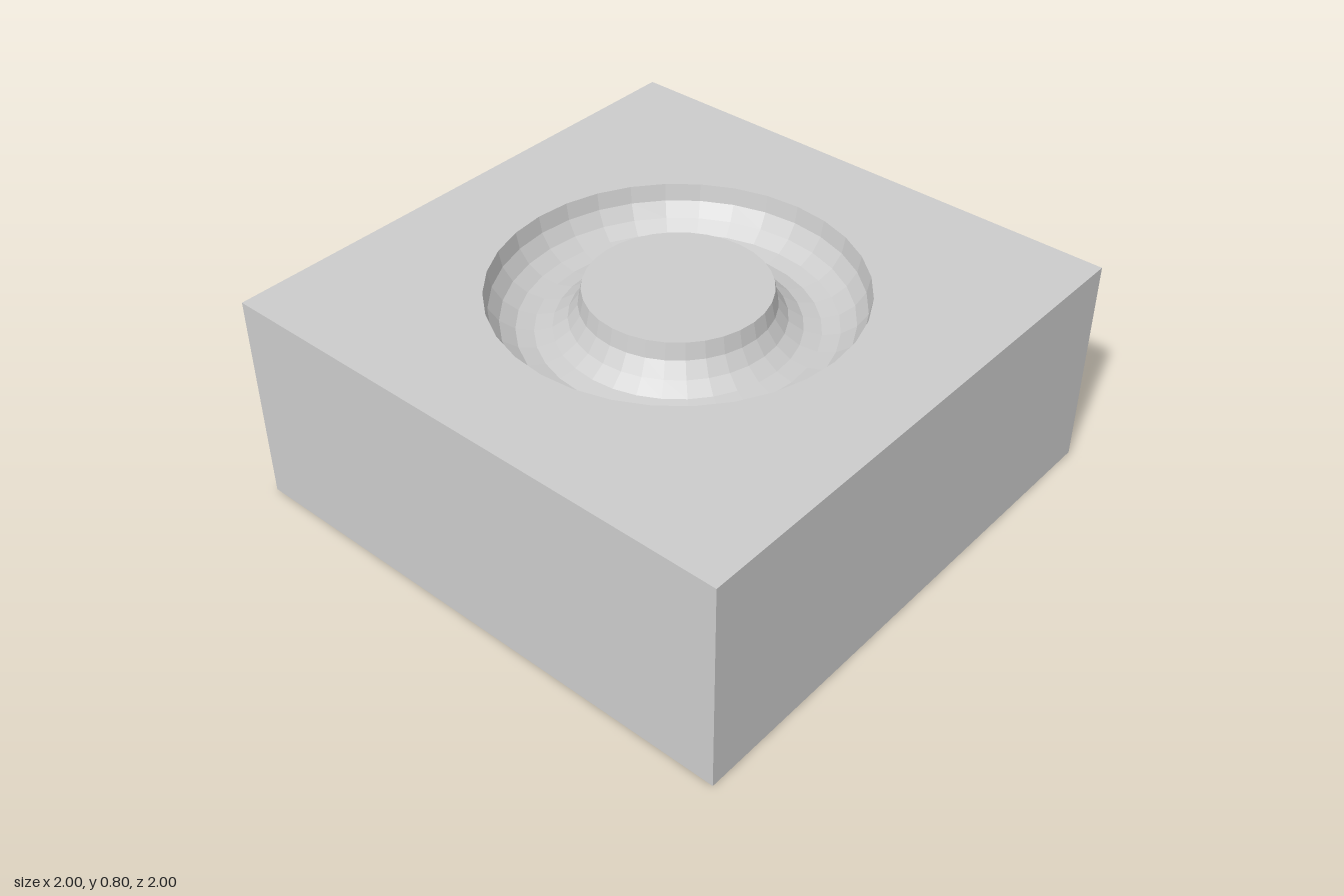
import * as THREE from 'three';

const SIZE = 2, HEIGHT = 0.8;       // square block
const RING = 0.48, TUBE = 0.16;     // groove centre radius and groove radius
const SIDES = 32, STEPS = 8;        // facets around and across the groove

export function createModel() {
  const group = new THREE.Group();
  const material = new THREE.MeshStandardMaterial({ color: 0xcccccc, flatShading: true });
  const add = (name, geometry, y) => {
    const mesh = new THREE.Mesh(geometry, material);
    mesh.name = name;
    mesh.position.y = y;
    group.add(mesh);
  };

  // Block walls and underside: a box without its top face
  const box = new THREE.BoxGeometry(SIZE, HEIGHT, SIZE);
  const top = box.groups[2];
  box.setIndex(Array.from(box.index.array).filter((_, i) => i < top.start || i >= top.start + top.count));
  box.clearGroups();
  add('blockWalls', box, HEIGHT / 2);

  // Square top surface with a round opening
  const h = SIZE / 2;
  const square = new THREE.Shape([[-h, -h], [h, -h], [h, h], [-h, h]].map(([x, y]) => new THREE.Vector2(x, y)));
  const opening = [];
  for (let i = 0; i < SIDES; i++) {
    const a = (i / SIDES) * Math.PI * 2;
    opening.push(new THREE.Vector2(Math.cos(a), Math.sin(a)).multiplyScalar(RING + TUBE));
  }
  square.holes.push(new THREE.Path(opening));
  add('topSurface', new THREE.ShapeGeometry(square).rotateX(-Math.PI / 2), HEIGHT);

  // Half-round ring groove, profiled from the outer rim to the inner rim
  const profile = [];
  for (let i = 0; i <= STEPS; i++) {
    const a = (i / STEPS) * Math.PI;
    profile.push(new THREE.Vector2(RING + TUBE * Math.cos(a), -TUBE * Math.sin(a)));
  }
  add('ringGroove', new THREE.LatheGeometry(profile, SIDES), HEIGHT);

  // Flat top of the central island
  add('islandTop', new THREE.CircleGeometry(RING - TUBE, SIDES).rotateX(-Math.PI / 2), HEIGHT);

  return group;
}
